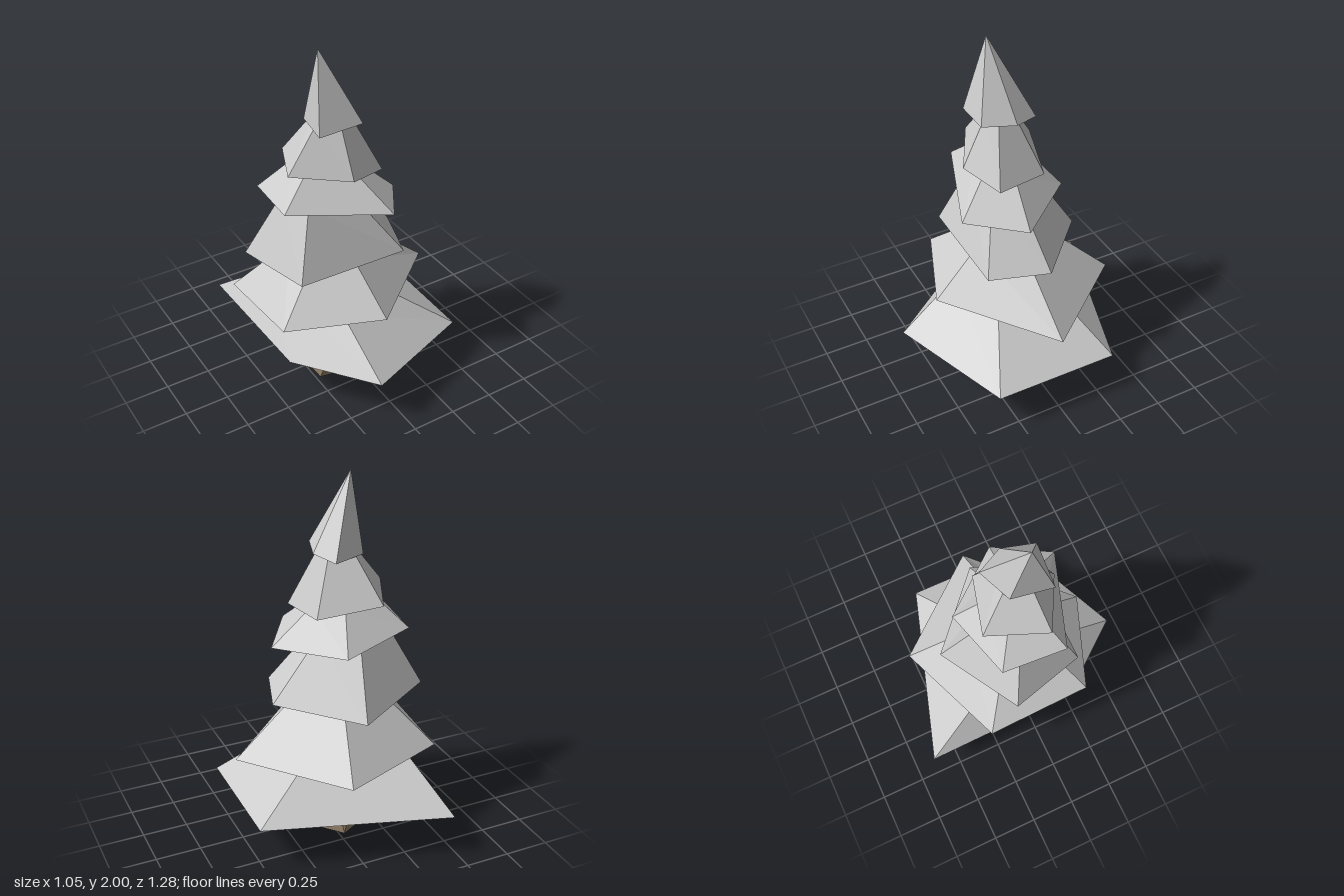
import * as THREE from 'three';

const foliage = new THREE.MeshStandardMaterial({ color: 0xcccccc, flatShading: true });
const bark = new THREE.MeshStandardMaterial({ color: 0x8f7d66, flatShading: true });

// Closed solid between two irregular rings (counter-clockwise from above);
// a top ring of one point makes a pyramid.
function loft(name, bottom, top, material) {
  const pos = [];
  const tri = (a, b, c) => pos.push(...a, ...b, ...c);
  const frustum = top.length > 1;
  bottom.forEach((corner, i) => {
    const j = (i + 1) % bottom.length;
    const ti = top[i % top.length], tj = top[j % top.length];
    tri(corner, bottom[j], ti);
    if (frustum) tri(bottom[j], tj, ti);
    if (i > 0 && j > 0) {
      tri(bottom[0], bottom[j], corner);
      if (frustum) tri(top[0], ti, tj);
    }
  });
  const geometry = new THREE.BufferGeometry();
  geometry.setAttribute('position', new THREE.Float32BufferAttribute(pos, 3));
  geometry.computeVertexNormals();
  const mesh = new THREE.Mesh(geometry, material);
  mesh.name = name;
  return mesh;
}

// Branch tier: the lower corners are pulled in towards an axis (cx, cz) at the top height.
// shrink 0 closes to a point; tilt slopes the top along x.
function tier(name, corners, [cx, topY, cz], shrink, tilt = 0) {
  const top = corners.map(([x, , z]) => {
    const dx = (x - cx) * shrink;
    return [cx + dx, topY + dx * tilt, cz + (z - cz) * shrink];
  });
  return loft(name, corners, shrink ? top : top.slice(0, 1), foliage);
}

// Trunk: each top corner sits between two base corners, giving the twisted facets
function trunk() {
  const base = [[-0.04, 0.165], [0.1, -0.055], [-0.03, -0.205], [-0.235, -0.09], [-0.225, 0.13]];
  const top = base.map(([x, z], i) => {
    const [nx, nz] = base[(i + 1) % base.length];
    return [(x + nx) * 0.4 - 0.025, 0.27, (z + nz) / 2 + 0.02];
  });
  return loft('trunk', base.map(([x, z]) => [x, 0, z]), top, bark);
}

export function createModel() {
  const tree = new THREE.Group();
  tree.name = 'pineTree';

  // From the ground up; corners start at the front and run round by the +x side
  tree.add(
    trunk(),
    tier('bottomBranches',
      [[-0.15, 0.3, 0.64], [0.515, 0.25, 0.37], [0.52, 0.25, -0.33], [-0.47, 0.25, -0.645], [-0.47, 0.3, 0.23]],
      [-0.2, 0.555, 0.02], 0.43),
    tier('secondBranches',
      [[-0.02, 0.575, 0.48], [0.525, 0.505, 0], [0.085, 0.505, -0.54], [-0.53, 0.505, -0.3], [-0.53, 0.575, 0.285]],
      [-0.087, 0.815, 0.027], 0.41),
    tier('thirdBranches',
      [[0.215, 0.81, 0.28], [0.32, 0.81, -0.04], [-0.065, 0.775, -0.395], [-0.52, 0.82, -0.14], [-0.41, 0.815, 0.275]],
      [-0.185, 1.16, 0.03], 0.45, -0.13),
    tier('fourthBranches',
      [[0.09, 1.13, 0.36], [0.28, 1.09, 0.065], [-0.005, 1.11, -0.28], [-0.41, 1.18, -0.18], [-0.44, 1.2, 0.17]],
      [-0.116, 1.335, 0.018], 0.43, -0.2),
    tier('fifthBranches',
      [[-0.09, 1.33, 0.26], [0.14, 1.285, 0.165], [0.095, 1.285, -0.115], [-0.24, 1.34, -0.21], [-0.38, 1.37, 0.105]],
      [-0.09, 1.6, 0.055], 0.36),
    tier('treetop',
      [[0, 1.605, 0.195], [0.055, 1.595, 0.02], [-0.01, 1.575, -0.12], [-0.2, 1.58, -0.045], [-0.24, 1.585, 0.18]],
      [-0.18, 2, 0.07], 0),
  );
  return tree;
}
